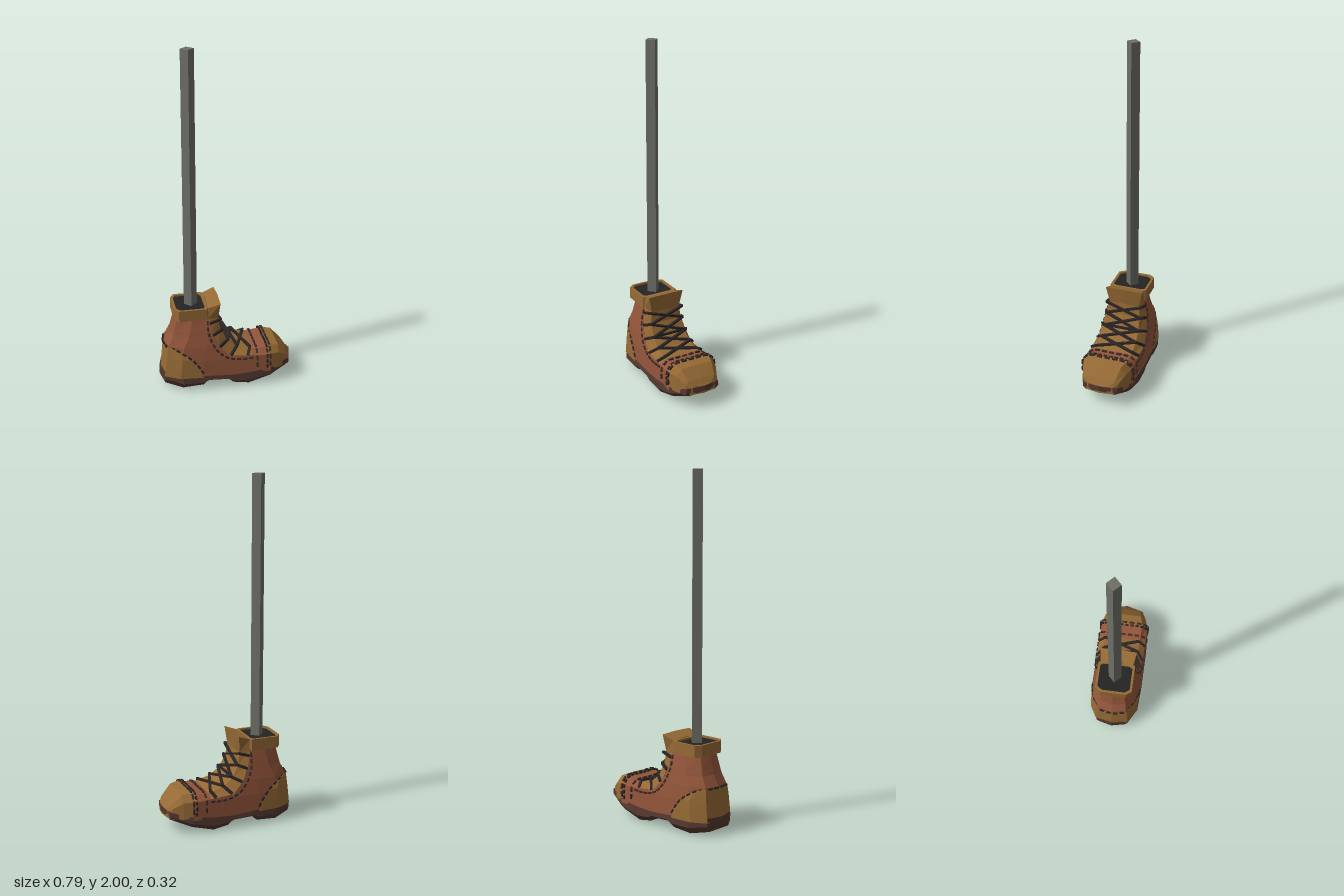
import * as THREE from 'three';

const mat = (color) => new THREE.MeshStandardMaterial({ color, flatShading: true, side: THREE.DoubleSide });
const tan = mat(0x966a35), brown = mat(0x93553a), rubber = mat(0x553830);
const cord = mat(0x2c2526), thread = mat(0x3a2c2a), lining = mat(0x242424), metal = mat(0x6e6e67);

const V = (x, y, z) => new THREE.Vector3(x, y, z);

// Skin a list of equally long point rows
function loft(name, rows, material) {
  const n = rows[0].length, index = [];
  for (let i = 0; i < rows.length - 1; i++)
    for (let j = 0; j < n - 1; j++) {
      const a = i * n + j, b = a + n;
      index.push(a, b, a + 1, b, b + 1, a + 1);
    }
  const g = new THREE.BufferGeometry().setFromPoints(rows.flat());
  g.setIndex(index);
  g.computeVertexNormals();
  const m = new THREE.Mesh(g, material);
  m.name = name;
  return m;
}

// Complete a half row (+z side to the centre line) with its mirror image
const mirrored = (half) => [...half, ...half.slice(0, -1).reverse().map((p) => V(p.x, p.y, -p.z))];

// Piecewise linear lookup in [[key, value], ...]
function lookup(table, k) {
  for (let i = 1; i < table.length; i++)
    if (k <= table[i][0]) {
      const [k0, v0] = table[i - 1], [k1, v1] = table[i];
      return THREE.MathUtils.mapLinear(Math.max(k, k0), k0, k1, v0, v1);
    }
  return table[table.length - 1][1];
}

// Ankle shape: back edge and half width by height, heel rounding by distance from the back
const backX = [[0.08, -0.383], [0.185, -0.373], [0.27, -0.363], [0.33, -0.333], [0.44, -0.305]];
const halfW = [[0.08, 0.152], [0.185, 0.148], [0.27, 0.138], [0.36, 0.121], [0.44, 0.103]];
const heelRound = [[0, 0], [0.016, 0.62], [0.1, 0.94], [0.22, 1]];
const sideZ = (x, y) => lookup(halfW, y) * lookup(heelRound, x - lookup(backX, y));

// Horizontal U-shaped row around the heel, from front edge to front edge
function heelRow(y, xf, grow = 0) {
  const xb = lookup(backX, y);
  const half = [0.22, 0.1, 0.016, 0].map((d) => {
    const x = Math.min(xb + d, xf);
    return V(x - grow, y, d ? sideZ(x, y) + grow : 0);
  });
  return mirrored([V(xf, y, sideZ(xf, y) + grow), ...half]);
}

// Flat bar between two points
function bar(a, b, w, h) {
  const m = new THREE.Mesh(new THREE.BoxGeometry(w, h, a.distanceTo(b)), cord);
  m.position.copy(a).lerp(b, 0.5);
  m.lookAt(b);
  return m;
}

// Row of dashes along a path
function stitches(name, points, count, material = thread) {
  const group = new THREE.Group(), curve = new THREE.CatmullRomCurve3(points);
  group.name = name;
  for (let i = 0; i < count; i++) {
    const m = bar(curve.getPointAt((i + 0.15) / count), curve.getPointAt((i + 0.8) / count), 0.01, 0.01);
    m.material = material;
    group.add(m);
  }
  return group;
}

export function createModel() {
  const boot = new THREE.Group();
  boot.name = 'bootOnPole';

  // Sole: x, half width, top, bottom (raised arch between heel and ball)
  const sole = [
    [-0.393, 0, 0.105, 0.05], [-0.37, 0.097, 0.105, 0.028], [-0.27, 0.15, 0.1, 0.008],
    [-0.15, 0.157, 0.09, 0.018], [-0.12, 0.158, 0.088, 0.045], [0, 0.158, 0.08, 0.04],
    [0.03, 0.158, 0.08, 0.015], [0.12, 0.158, 0.084, 0], [0.25, 0.152, 0.1, 0.035],
    [0.367, 0.107, 0.13, 0.083], [0.393, 0, 0.137, 0.11],
  ];
  boot.add(loft('sole', sole.map(([x, w, t, b]) => mirrored([
    V(x, b, 0), V(x, b, w * 0.82), V(x, b * 0.6 + t * 0.4, w), V(x, t, w * 0.98), V(x, t, 0),
  ])), rubber));

  // Brown ankle and side walls
  const wall = [[0.08, 0.25], [0.185, 0.25], [0.205, 0], [0.27, -0.06], [0.33, -0.09], [0.36, -0.1], [0.445, -0.115]];
  boot.add(loft('upper', wall.map(([y, xf]) => heelRow(y, xf)), brown));

  // Tan heel patch
  const heel = [[0.08, -0.15], [0.14, -0.172], [0.2, -0.22], [0.245, -0.285], [0.265, -0.335]];
  boot.add(loft('heelPatch', heel.map(([y, xf]) => heelRow(y, xf, 0.004)), tan));

  // Tongue and vamp: edge x, y, half width, then ridge x, y, half width
  const throat = [
    [-0.115, 0.505, 0.1, -0.115, 0.505, 0.1], [-0.115, 0.505, 0.1, -0.045, 0.53, 0.112],
    [-0.115, 0.44, 0.103, -0.055, 0.43, 0.092], [-0.1, 0.36, 0.121, -0.045, 0.36, 0.1],
    [-0.06, 0.27, 0.138, -0.008, 0.288, 0.104], [0, 0.205, 0.146, 0.05, 0.24, 0.107],
    [0.14, 0.194, 0.147, 0.14, 0.217, 0.112], [0.25, 0.185, 0.148, 0.25, 0.226, 0.115],
  ].map(([ex, ey, ew, rx, ry, rw]) => mirrored([V(ex, ey, ew), V(rx, ry, rw), V(rx + 0.004, ry + 0.003, 0)]));
  boot.add(loft('tongue', throat.slice(0, 7), tan), loft('vamp', throat.slice(6), brown));

  // Toe cap: x, base width, shoulder y and width, top y and width
  const toe = [
    [0.228, 0.153, 0.19, 0.151, 0.235, 0.118], [0.3, 0.135, 0.185, 0.13, 0.224, 0.1],
    [0.355, 0.108, 0.15, 0.104, 0.168, 0.085], [0.375, 0.08, 0.13, 0.075, 0.14, 0.06], [0.387, 0, 0.12, 0, 0.127, 0],
  ];
  boot.add(loft('toeCap', toe.map(([x, bw, sy, sw, ty, tw]) => mirrored([
    V(x, 0.09, bw), V(x, sy, sw), V(x, ty, tw), V(x, ty + 0.003, 0),
  ])), tan));

  // Padded collar with dark lining
  const ring = (x0, x1, w, c) => [[x0, -w + c], [x0 + c * 0.7, -w], [x1 - 0.012, -w], [x1, -w + 0.02],
    [x1, w - 0.02], [x1 - 0.012, w], [x0 + c * 0.7, w], [x0, w - c]].map(([x, z]) => new THREE.Vector2(x, z));
  const collarShape = new THREE.Shape(ring(-0.31, -0.113, 0.112, 0.035));
  const opening = ring(-0.296, -0.13, 0.098, 0.03);
  collarShape.holes.push(new THREE.Path(opening));
  const collar = new THREE.Mesh(new THREE.ExtrudeGeometry(collarShape, { depth: 0.068, bevelEnabled: false }), tan);
  collar.rotation.x = -Math.PI / 2;
  collar.position.y = 0.437;
  collar.name = 'collar';
  const inside = new THREE.Mesh(new THREE.ShapeGeometry(new THREE.Shape(opening)), lining);
  inside.rotation.x = -Math.PI / 2;
  inside.position.y = 0.495;
  inside.name = 'lining';
  boot.add(collar, inside);

  // Crossed laces and the ends running down to the eyelets
  const laces = new THREE.Group();
  laces.name = 'laces';
  const hooks = [[-0.045, 0.43, -0.108, 0.41], [-0.036, 0.362, -0.092, 0.34], [0, 0.295, -0.055, 0.268],
    [0.054, 0.25, 0.01, 0.208], [0.13, 0.23, 0.11, 0.2]];
  hooks.forEach(([x, y, ex, ey], i) => {
    for (const s of [1, -1]) {
      const p = V(x, y, 0.107 * s);
      laces.add(bar(p, V(ex, ey, (sideZ(ex, ey) + 0.002) * s), 0.014, 0.014));
      if (i < hooks.length - 1) {
        const [nx, ny] = hooks[i + 1];
        laces.add(bar(p, V(nx, ny, -0.107 * s), 0.016, 0.012));
      }
    }
  });
  laces.add(bar(V(-0.002, 0.296, 0.107), V(-0.002, 0.296, -0.107), 0.012, 0.012));
  boot.add(laces);

  // Stitching along the throat and heel seams on both sides
  const throatSeam = [[-0.12, 0.43], [-0.117, 0.35], [-0.08, 0.26], [-0.02, 0.2], [0.06, 0.178], [0.15, 0.18]];
  const heelSeam = [[-0.355, 0.262], [-0.31, 0.258], [-0.22, 0.2], [-0.172, 0.14], [-0.15, 0.1]];
  for (const s of [1, -1]) {
    const onSide = (pts) => pts.map(([x, y]) => V(x, y, (sideZ(x, y) + 0.002) * s));
    boot.add(stitches('throatStitching', onSide(throatSeam), 12), stitches('heelStitching', onSide(heelSeam), 8, cord));
  }
  boot.add(stitches('heelBackStitching', mirrored([V(-0.355, 0.264, 0.083), V(-0.37, 0.266, 0)]), 4, cord));

  // Stitching across the vamp and toe cap
  for (const [x, y] of [[0.168, 0.221], [0.245, 0.235]])
    boot.add(stitches('toeStitching', mirrored([V(x, 0.11, 0.153), V(x, y - 0.038, 0.151), V(x, y, 0.115), V(x, y + 0.003, 0)]), 11));
  boot.add(stitches('toeSeam', mirrored([V(0.228, 0.1, 0.152), V(0.228, 0.19, 0.15), V(0.228, 0.232, 0.117), V(0.228, 0.236, 0)]), 16, cord));

  // Square pole standing in the boot
  const pole = new THREE.Mesh(new THREE.CylinderGeometry(0.038, 0.038, 1.55, 4), metal);
  pole.position.set(-0.202, 1.225, 0);
  pole.name = 'pole';
  boot.add(pole);

  return boot;
}
